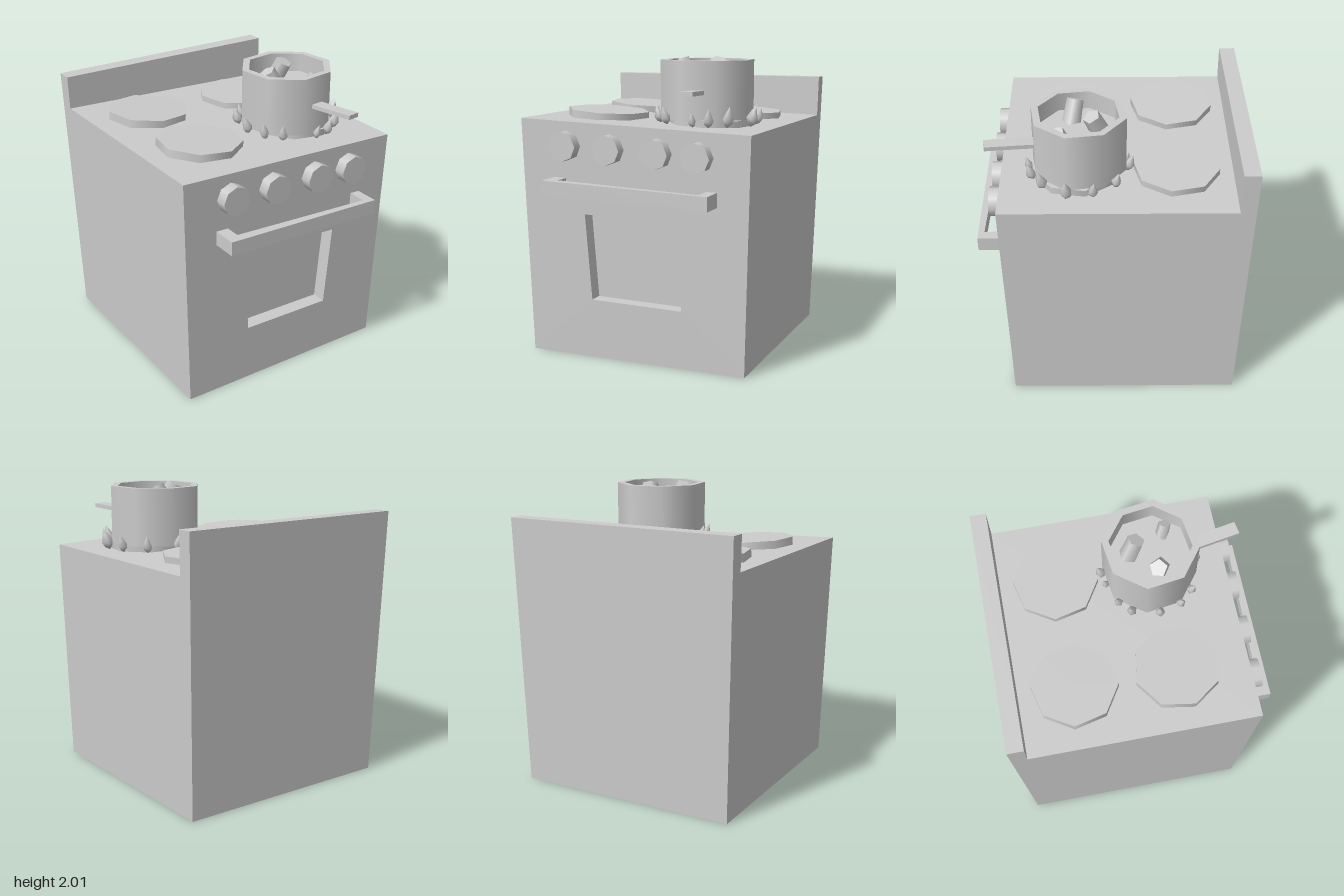
import * as THREE from 'three';

const enamel = new THREE.MeshStandardMaterial({ color: 0xcccccc, side: THREE.DoubleSide });
enamel.name = 'plain grey';

function add(parent, name, geometry, position = [0, 0, 0], rotation = [0, 0, 0]) {
  const mesh = new THREE.Mesh(geometry, enamel);
  mesh.name = name;
  mesh.position.set(...position);
  mesh.rotation.set(...rotation);
  parent.add(mesh);
  return mesh;
}

// Flat-sided surface from four-cornered faces, corners counter-clockwise
function quads(faces) {
  const points = faces.flatMap(([a, b, c, d]) => [a, b, c, a, c, d]).flat();
  const geometry = new THREE.BufferGeometry();
  geometry.setAttribute('position', new THREE.Float32BufferAttribute(points, 3));
  geometry.computeVertexNormals();
  return geometry;
}

const vectors = (list) => list.map(([x, y]) => new THREE.Vector2(x, y));

// The cabinet widens towards the top and its hob slopes down to +x
const left = (y) => 0.763 + 0.025 * y;
const right = (y) => -0.766 - 0.027 * y;
const front = (y) => 0.69 + 0.022 * y;
const back = (y) => -0.84 - 0.026 * y;
const hobLeft = 1.55, hobRight = 1.6, top = 1.83, ledge = -0.78;

function buildCabinet(parent) {
  const cabinet = new THREE.Group();
  cabinet.name = 'cabinet';
  parent.add(cabinet);

  // Front with an oven window opening
  const opening = [[-0.35, 0.98], [-0.31, 0.4], [0.33, 0.39], [0.37, 0.95]];
  const shape = new THREE.Shape(vectors([
    [right(0), 0], [left(0), 0], [left(hobLeft), hobLeft], [right(hobRight), hobRight]]));
  shape.holes.push(new THREE.Path(vectors(opening)));
  const face = new THREE.ShapeGeometry(shape);
  const p = face.attributes.position;
  for (let i = 0; i < p.count; i++) p.setZ(i, front(p.getY(i)));
  face.computeVertexNormals();
  add(cabinet, 'frontPanel', face);

  // Recessed window: four walls and the pane
  const outer = opening.map(([x, y]) => [x, y, front(y)]);
  const inner = opening.map(([x, y]) => [x, y, front(y) - 0.1]);
  const walls = outer.map((a, i) => {
    const j = (i + 1) % 4;
    return [a, inner[i], inner[j], outer[j]];
  });
  add(cabinet, 'ovenWindow', quads([...walls, inner]));

  // Hob
  add(cabinet, 'hob', quads([[
    [right(hobRight), hobRight, front(hobRight)], [left(hobLeft), hobLeft, front(hobLeft)],
    [left(hobLeft), hobLeft, ledge], [right(hobRight), hobRight, ledge]]]));

  // Sides, each with the end of the splashback; the underside is open
  for (const [name, edge, h] of [['leftSide', left, hobLeft], ['rightSide', right, hobRight]]) {
    const at = (y, z) => [edge(y), y, z];
    const lower = [at(0, front(0)), at(0, back(0)), at(h, back(h)), at(h, front(h))];
    const upper = [at(h, ledge), at(h, back(h)), at(top, back(top)), at(top, ledge)];
    const faces = [lower, upper];
    if (edge === right) faces.forEach((f) => f.reverse());
    add(cabinet, name, quads(faces));
  }

  // Back panel and splashback
  add(cabinet, 'backPanel', quads([[
    [left(0), 0, back(0)], [right(0), 0, back(0)],
    [right(top), top, back(top)], [left(top), top, back(top)]]]));
  add(cabinet, 'splashback', quads([
    [[right(hobRight), hobRight, ledge], [left(hobLeft), hobLeft, ledge],
      [left(top), top, ledge], [right(top), top, ledge]],
    [[right(top), top, ledge], [left(top), top, ledge],
      [left(top), top, back(top)], [right(top), top, back(top)]]]));
}

function buildFittings(parent) {
  // Octagonal hotplates: x, y, z, turn, tilt
  const plate = new THREE.CylinderGeometry(0.282, 0.282, 0.06, 8);
  for (const [x, y, z, turn, tilt] of [
    [-0.395, 1.605, -0.41, -0.16, -0.06], [-0.395, 1.605, 0.255, 0.23, -0.06],
    [0.355, 1.575, -0.41, -0.16, -0.03], [0.355, 1.578, 0.24, 0.23, -0.03]]) {
    const holder = new THREE.Group();
    holder.name = 'hotplate';
    holder.position.set(x, y, z);
    holder.rotation.z = tilt;
    add(holder, 'hotplateDisc', plate, [0, 0, 0], [0, turn, 0]);
    parent.add(holder);
  }

  // Control knobs
  const knob = new THREE.CylinderGeometry(0.098, 0.098, 0.1, 8);
  knob.rotateX(Math.PI / 2);
  for (const [x, y] of [[-0.47, 1.43], [-0.155, 1.42], [0.18, 1.41], [0.46, 1.4]]) {
    add(parent, 'controlKnob', knob, [x, y, 0.75]);
  }

  // U-shaped oven door handle, drawn from above and sloping down to +x
  const outline = vectors([
    [-0.57, -0.71], [-0.57, -0.885], [0.58, -0.885], [0.58, -0.71],
    [0.51, -0.71], [0.51, -0.845], [-0.485, -0.82], [-0.485, -0.71]]);
  const handle = new THREE.ExtrudeGeometry(new THREE.Shape(outline), { depth: 0.095, bevelEnabled: false });
  handle.rotateX(-Math.PI / 2);
  const p = handle.attributes.position;
  for (let i = 0; i < p.count; i++) p.setY(i, p.getY(i) + 1.106 - 0.027 * p.getX(i));
  handle.computeVertexNormals();
  add(parent, 'doorHandle', handle);
}

function buildPot(parent) {
  const pot = new THREE.Group();
  pot.name = 'cookingPot';
  pot.position.set(0.32, 0, 0.217);
  parent.add(pot);

  // Octagonal wall, rim, base and contents
  const R = 0.313, r = 0.265, base = 1.6, rim = 1.985, turn = -0.25;
  const flat = (geometry, angle) => geometry.rotateX(angle);
  const h = rim - base;
  add(pot, 'potWall', new THREE.CylinderGeometry(R, R, h, 8, 1, true), [0, base + h / 2, 0], [0, turn, 0]);
  add(pot, 'potInnerWall', new THREE.CylinderGeometry(r, r, 0.15, 8, 1, true), [0, rim - 0.075, 0], [0, turn, 0]);
  add(pot, 'potRim', flat(new THREE.RingGeometry(r, R, 8), -Math.PI / 2), [0, rim, 0], [0, turn, 0]);
  add(pot, 'potBase', flat(new THREE.CircleGeometry(R, 8), Math.PI / 2), [0, base, 0], [0, turn, 0]);
  add(pot, 'soup', flat(new THREE.CircleGeometry(r, 8), -Math.PI / 2), [0, 1.86, 0], [0, turn, 0]);
  add(pot, 'potHandle', new THREE.BoxGeometry(0.087, 0.028, 0.32), [0.065, 1.79, 0.44], [-0.04, 0.16, 0]);

  // Food chunks poking out of the soup
  const chunk = new THREE.CylinderGeometry(0.058, 0.068, 0.2, 5);
  for (const [x, y, z, scale, rx, rz] of [
    [0.02, 1.89, -0.12, 1, 0.4, -0.25], [-0.13, 1.89, 0.035, 1, -0.2, 0.45],
    [0.12, 1.87, 0.105, 0.7, 0.3, -0.4]]) {
    add(pot, 'foodChunk', chunk, [x, y, z], [rx, 0, rz]).scale.setScalar(scale);
  }
}

function buildFlames(parent) {
  // Teardrop flames leaning away from the pot: x, z, size
  const flame = new THREE.LatheGeometry(
    vectors([[0, 0], [0.026, 0.025], [0.036, 0.055], [0.018, 0.1], [0, 0.14]]), 5);
  for (const [x, z, size] of [
    [0.35, -0.09, 0.95], [0.53, -0.01, 0.9], [0.63, 0.13, 0.9], [0.645, 0.29, 1.1],
    [0.54, 0.44, 1.05], [0.44, 0.51, 0.95], [0.34, 0.53, 0.75], [0.13, 0.45, 0.9],
    [0.05, 0.365, 0.9], [0.015, 0.225, 0.95], [0.055, 0.055, 0.95],
    [0.13, -0.015, 0.85], [0.27, -0.075, 0.7]]) {
    const angle = Math.atan2(x - 0.32, z - 0.217);
    const mesh = add(parent, 'flame', flame, [x, 1.57 - 0.02 * x, z]);
    mesh.rotation.order = 'YXZ';
    mesh.rotation.set(0.3, angle, 0);
    mesh.scale.setScalar(size);
  }
}

export function createModel() {
  const stove = new THREE.Group();
  stove.name = 'stove';
  buildCabinet(stove);
  buildFittings(stove);
  buildPot(stove);
  buildFlames(stove);
  return stove;
}
